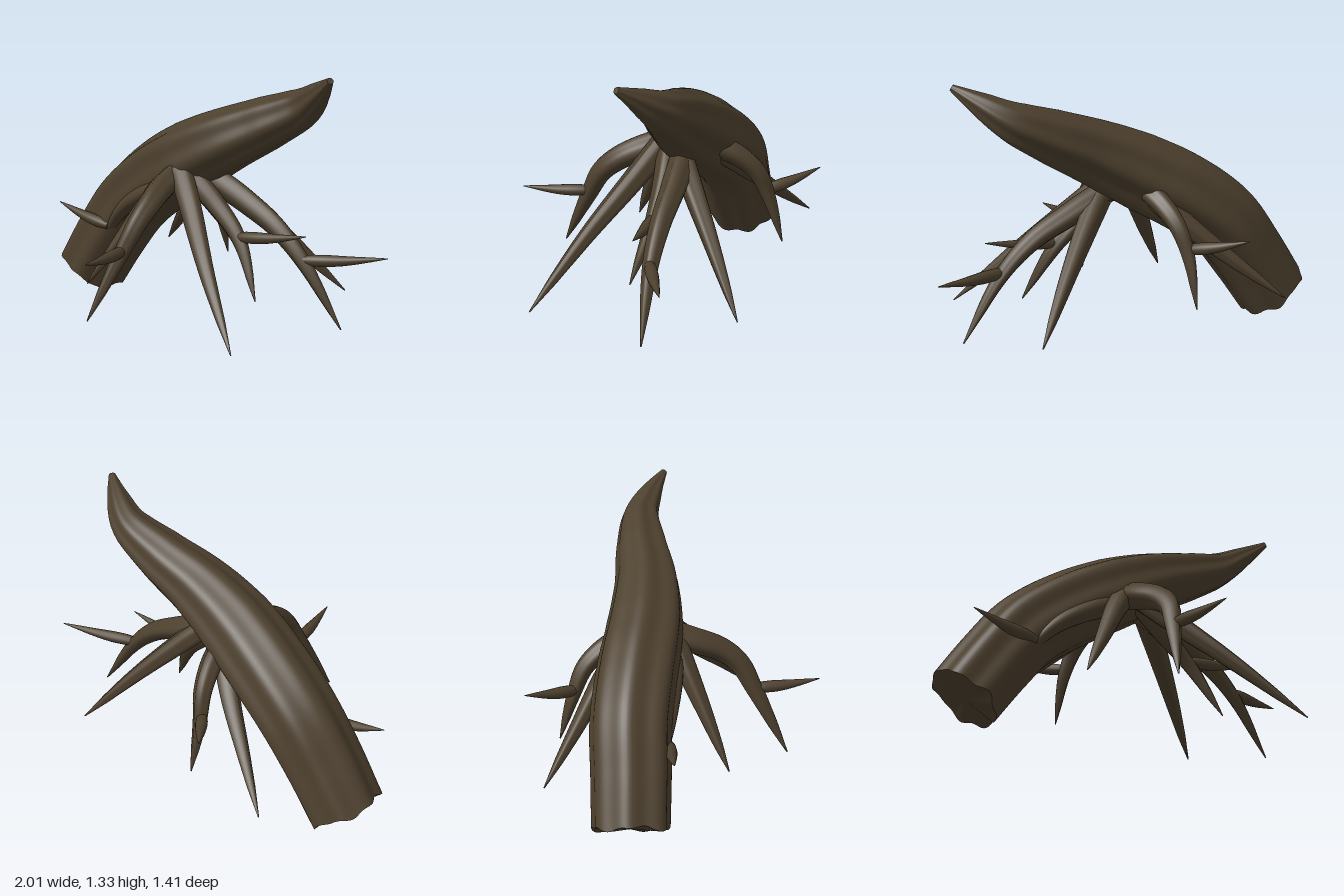
import * as THREE from 'three';

const bark = new THREE.MeshStandardMaterial({ color: 0x4d402e });
bark.name = 'bark';

const vec = (p) => new THREE.Vector3(...p);

// Sweeps a closed section along a smooth path; radius(t) sets the size, flute(a) the outline,
// ragged(a) shifts the cut first ring along the path.
function sweep(name, points, radius, { rings = 24, sides = 12, flute = () => 1, ragged = () => 0 } = {}) {
  const curve = new THREE.CatmullRomCurve3(points.map(vec));
  const frames = curve.computeFrenetFrames(rings, false);
  const pos = [], index = [];
  for (let i = 0; i <= rings; i++) {
    const t = i / rings, c = curve.getPointAt(t), r = radius(t);
    for (let j = 0; j <= sides; j++) {
      const a = (j % sides) / sides * Math.PI * 2, k = r * flute(a);
      const p = c.clone()
        .addScaledVector(frames.normals[i], Math.cos(a) * k)
        .addScaledVector(frames.binormals[i], Math.sin(a) * k);
      if (i === 0) p.addScaledVector(frames.tangents[0], ragged(a));
      pos.push(p.x, p.y, p.z);
    }
  }
  const w = sides + 1;
  for (let i = 0; i < rings; i++) for (let j = 0; j < sides; j++) {
    const a = i * w + j, b = a + 1, c = a + w, d = c + 1;
    index.push(a, b, c, b, d, c);
  }
  // End caps use their own vertices so the rims stay sharp
  for (const [ring, first] of [[0, true], [rings, false]]) {
    const base = pos.length / 3, c = curve.getPointAt(ring / rings);
    pos.push(c.x, c.y, c.z);
    for (let j = 0; j <= sides; j++) {
      const o = (ring * w + j) * 3;
      pos.push(pos[o], pos[o + 1], pos[o + 2]);
    }
    for (let j = 1; j <= sides; j++) {
      index.push(base, ...(first ? [base + j + 1, base + j] : [base + j, base + j + 1]));
    }
  }
  const geo = new THREE.BufferGeometry();
  geo.setAttribute('position', new THREE.Float32BufferAttribute(pos, 3));
  geo.setIndex(index);
  geo.computeVertexNormals();
  // Weld the normals along the seam
  const n = geo.attributes.normal, v = new THREE.Vector3(), u = new THREE.Vector3();
  for (let i = 0; i <= rings; i++) {
    const a = i * w, b = a + sides;
    v.fromBufferAttribute(n, a).add(u.fromBufferAttribute(n, b)).normalize();
    n.setXYZ(a, v.x, v.y, v.z);
    n.setXYZ(b, v.x, v.y, v.z);
  }
  const mesh = new THREE.Mesh(geo, bark);
  mesh.name = name;
  return mesh;
}

// Linear interpolation through evenly spaced values
const profile = (values) => (t) => {
  const s = t * (values.length - 1), i = Math.min(Math.floor(s), values.length - 2);
  return THREE.MathUtils.lerp(values[i], values[i + 1], s - i);
};

export function createModel() {
  const model = new THREE.Group();
  model.name = 'rootedTrunk';

  // Leaning fluted trunk, cut at the foot and drawn to a bent point
  model.add(sweep('trunk', [
    [-0.845, 0.128, -0.1], [-0.7, 0.34, -0.125], [-0.54, 0.545, -0.155], [-0.32, 0.71, -0.165],
    [-0.08, 0.843, -0.17], [0.16, 0.963, -0.205], [0.38, 1.067, -0.27], [0.6, 1.172, -0.315],
    [0.75, 1.265, -0.28], [0.86, 1.335, -0.235],
  ], profile([0.186, 0.19, 0.194, 0.197, 0.199, 0.197, 0.19, 0.173, 0.152, 0.131, 0.103, 0.064, 0.016]), {
    rings: 60, sides: 84,
    flute: (a) => 1 + 0.045 * Math.cos(7 * (a - 2.6)) + 0.03 * Math.cos(a - 2.6) + 0.02 * Math.cos(5 * (a - 2.6)),
    ragged: (a) => 0.01 * Math.sin(4 * a) + 0.006 * Math.sin(9 * a + 1),
  }));

  // Prop roots: path from the trunk down to the pointed tip
  const roots = [
    ['frontRoot', 0.066, [[-0.03, 0.78, -0.03], [0.0, 0.735, 0.08], [0.05, 0.675, 0.2], [0.07, 0.59, 0.3], [0.055, 0.45, 0.385], [0.01, 0.12, 0.57]]],
    ['frontRightRoot', 0.056, [[-0.04, 0.8, -0.04], [-0.12, 0.67, 0.04], [-0.22, 0.46, 0.16], [-0.35, 0.19, 0.31]]],
    ['frontLeftRoot', 0.062, [[0.0, 0.8, -0.04], [0.18, 0.64, 0.04], [0.45, 0.4, 0.17], [0.79, 0.09, 0.31]]],
    ['leftRoot', 0.064, [[0.06, 0.78, -0.18], [0.3, 0.665, -0.23], [0.49, 0.56, -0.26], [0.65, 0.41, -0.29], [0.86, 0.1, -0.35]]],
    ['innerLeftRoot', 0.058, [[0.04, 0.78, -0.08], [0.18, 0.65, -0.12], [0.34, 0.49, -0.14], [0.51, 0.21, -0.1]]],
    ['backLeftRoot', 0.058, [[0.1, 0.78, -0.17], [0.2, 0.66, -0.28], [0.36, 0.45, -0.47], [0.55, 0.17, -0.7]]],
    ['backRoot', 0.056, [[-0.08, 0.79, -0.24], [-0.14, 0.725, -0.37], [-0.19, 0.635, -0.46], [-0.23, 0.49, -0.515], [-0.25, 0.24, -0.59]]],
    ['backRightRoot', 0.056, [[-0.08, 0.78, -0.25], [-0.28, 0.6, -0.36], [-0.48, 0.435, -0.445], [-0.73, 0.24, -0.55]]],
    ['rightRoot', 0.062, [[-0.02, 0.77, -0.08], [-0.2, 0.68, -0.01], [-0.4, 0.56, 0.015], [-0.53, 0.43, 0.01], [-0.64, 0.25, -0.03]]],
  ];
  for (const [name, r, path] of roots) {
    model.add(sweep(name, path, profile([r, r * 0.97, r * 0.86, r * 0.72, r * 0.56, r * 0.36, r * 0.05]), {
      rings: 28, sides: 20, flute: (a) => 1 + 0.08 * Math.cos(4 * a + 0.5) + 0.04 * Math.cos(7 * a),
    }));
  }

  // Slim spindle spurs branching outward from the arched roots
  const spurs = [
    ['frontSpur', [0.055, 0.46, 0.37], [0.2, 0.47, 0.71]],
    ['leftSpur', [0.63, 0.42, -0.27], [1.0, 0.46, -0.52]],
    ['innerLeftSpur', [0.31, 0.5, -0.13], [0.72, 0.56, -0.235]],
    ['backSpur', [-0.22, 0.52, -0.49], [-0.47, 0.6, -0.7]],
    ['rightSpur', [-0.53, 0.43, 0.035], [-0.87, 0.52, 0.12]],
  ];
  for (const [name, from, to] of spurs) {
    const middle = vec(from).lerp(vec(to), 0.5);
    middle.y -= 0.008;
    model.add(sweep(name, [from, middle.toArray(), to], profile([0.02, 0.03, 0.031, 0.026, 0.019, 0.011, 0.002]), { rings: 16 }));
  }
  return model;
}
